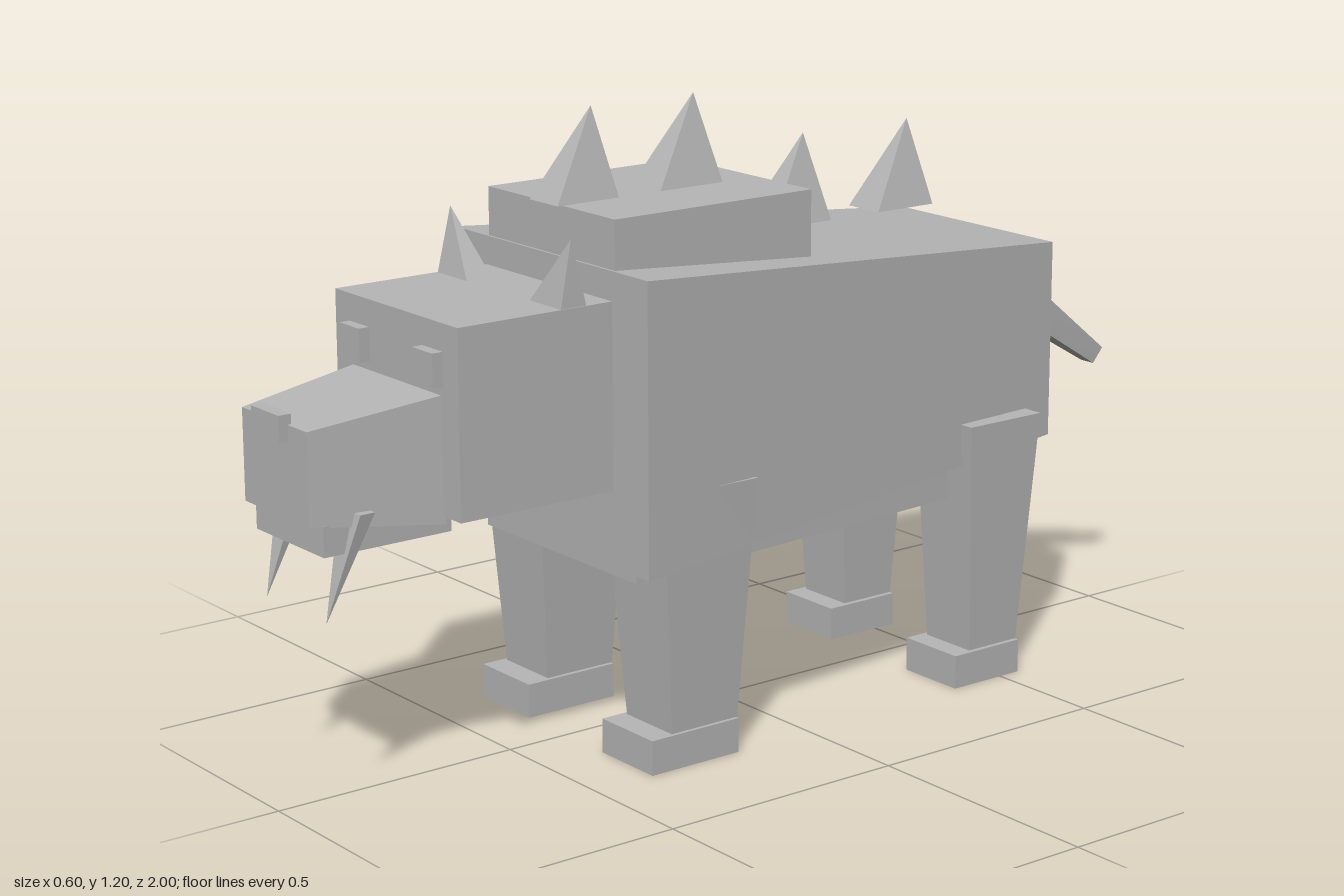
import * as THREE from 'three';

const hide = new THREE.MeshStandardMaterial({ color: 0xb6b6b6 });
hide.name = 'grey hide';

// Reshape a unit box by a rule mapping corner signs (0 or 1) to a position
function reshape(rule) {
  const geo = new THREE.BoxGeometry(1, 1, 1);
  const p = geo.attributes.position;
  for (let i = 0; i < p.count; i++) {
    const c = [p.getX(i), p.getY(i), p.getZ(i)].map((v) => (v > 0 ? 1 : 0));
    p.setXYZ(i, ...rule(...c));
  }
  geo.computeVertexNormals();
  return geo;
}

// Block between two horizontal rectangles [x0, x1, z0, z1, y]
function taperY(bottom, top) {
  return reshape((i, j, k) => {
    const r = j ? top : bottom;
    return [r[i], r[4], r[2 + k]];
  });
}

// Block between two upright rectangles [halfWidth, y0, y1, z at y0, z at y1]
function taperZ(back, front) {
  return reshape((i, j, k) => {
    const r = k ? front : back;
    return [i ? r[0] : -r[0], r[1 + j], r[3 + j]];
  });
}

const box = (x0, x1, y0, y1, z0, z1) => taperY([x0, x1, z0, z1, y0], [x0, x1, z0, z1, y1]);

export function createModel() {
  const model = new THREE.Group();
  model.name = 'tusked beast';
  const add = (name, geo) => {
    const mesh = new THREE.Mesh(geo, hide);
    mesh.name = name;
    model.add(mesh);
  };

  // Trunk
  add('body', taperZ([0.225, 0.465, 0.855, -0.65, -0.65], [0.302, 0.385, 0.935, 0.4, 0.4]));
  add('belly', taperZ([0.19, 0.372, 0.5, -0.597, -0.597], [0.237, 0.36, 0.5, 0.38, 0.38]));
  add('hump', box(-0.197, 0.197, 0.85, 1.027, -0.058, 0.393));
  add('tail', taperZ([0.018, 0.52, 0.55, -0.975, -1], [0.045, 0.72, 0.83, -0.64, -0.64]));

  // Back spikes: back edge, front edge, tip z, base height, tip height
  for (const [z0, z1, tip, y0, y1] of [
    [0.27, 0.407, 0.3, 1.028, 1.195],
    [0.03, 0.175, 0.065, 1.028, 1.195],
    [-0.235, -0.09, -0.2, 0.922, 1.09],
    [-0.495, -0.355, -0.463, 0.922, 1.09],
  ]) add('backSpike', taperY([-0.044, 0.044, z0, z1, y0], [0, 0, tip, tip, y1]));

  // Head
  add('head', box(-0.197, 0.197, 0.53, 0.88, 0.39, 0.73));
  add('snout', taperZ([0.143, 0.515, 0.75, 0.725, 0.725], [0.108, 0.547, 0.718, 0.982, 0.982]));
  add('lowerJaw', box(-0.113, 0.113, 0.49, 0.546, 0.695, 0.958));
  add('nose', box(-0.046, 0.046, 0.688, 0.737, 0.975, 1));

  // Paired parts
  for (const s of [1, -1]) {
    const side = s > 0 ? 'left' : 'right';
    const m = ([x0, x1, ...rest]) => (s > 0 ? [x0, x1, ...rest] : [-x1, -x0, ...rest]);
    const pair = (name, bottom, top) => add(side + name, taperY(m(bottom), m(top)));

    pair('Ear', [0.1, 0.195, 0.455, 0.51, 0.88], [0.19, 0.19, 0.483, 0.483, 1.003]);
    pair('Eye', [0.086, 0.15, 0.725, 0.752, 0.766], [0.086, 0.15, 0.725, 0.752, 0.829]);
    pair('Tusk', [0.1, 0.1, 0.95, 0.95, 0.365], [0.068, 0.138, 0.868, 0.898, 0.562]);
    pair('FrontLeg', [0.128, 0.265, 0.17, 0.322, 0.06], [0.102, 0.29, 0.142, 0.355, 0.53]);
    pair('FrontFoot', [0.119, 0.273, 0.172, 0.373, 0], [0.119, 0.273, 0.172, 0.373, 0.067]);
    pair('HindLeg', [0.128, 0.252, -0.547, -0.425, 0.06], [0.11, 0.273, -0.582, -0.4, 0.53]);
    pair('HindFoot', [0.117, 0.262, -0.547, -0.38, 0], [0.117, 0.262, -0.547, -0.38, 0.067]);
  }
  return model;
}
